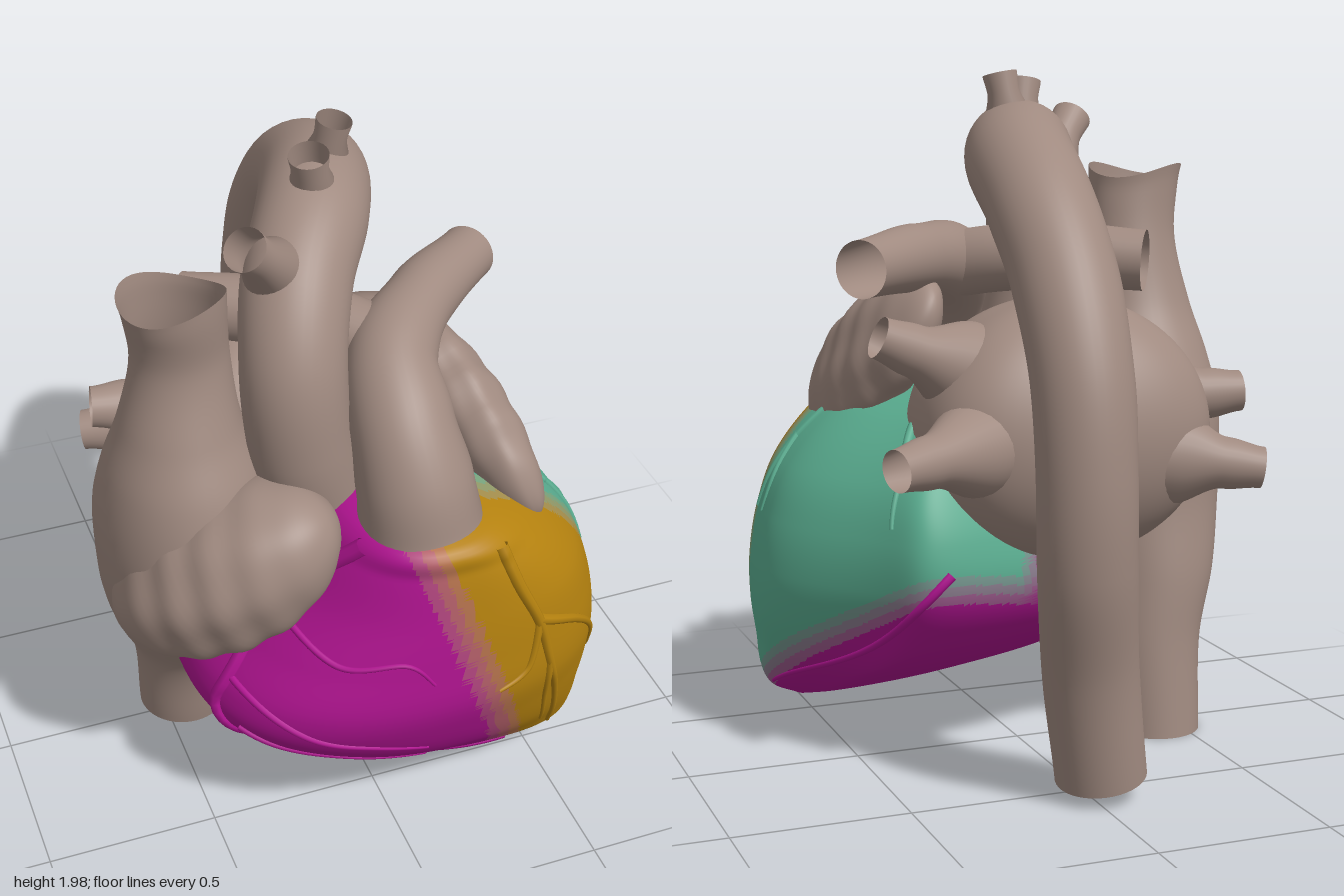
import * as THREE from 'three';
import { mergeVertices } from 'three/addons/utils/BufferGeometryUtils.js';

const VESSEL = 0xa08a80, MAGENTA = 0xb01490, ORANGE = 0xb5820f, TEAL = 0x5aad90;
const clamp = THREE.MathUtils.clamp;
const material = (color) => new THREE.MeshStandardMaterial({ color, side: THREE.DoubleSide });

// Horizontal sections: [y, centre x, centre z, radius x, radius z]
const VENTRICLES = [
  [0.085, 0.53, 0.48, 0.03, 0.03], [0.13, 0.4, 0.44, 0.24, 0.14], [0.2, 0.3, 0.38, 0.38, 0.26],
  [0.3, 0.19, 0.31, 0.51, 0.41], [0.42, 0.11, 0.27, 0.61, 0.51], [0.55, 0.105, 0.25, 0.615, 0.57],
  [0.7, 0.14, 0.25, 0.55, 0.57], [0.85, 0.165, 0.275, 0.455, 0.535], [1.0, 0.14, 0.32, 0.33, 0.47],
  [1.085, 0.1, 0.38, 0.21, 0.38], [1.115, 0.1, 0.4, 0.1, 0.18],
];
const VENA_CAVA = [
  [0.02, -0.43, -0.05, 0.135, 0.14], [0.3, -0.43, 0, 0.155, 0.165], [0.5, -0.455, 0.08, 0.2, 0.23],
  [0.7, -0.46, 0.17, 0.245, 0.29], [0.85, -0.465, 0.2, 0.255, 0.31], [1.0, -0.47, 0.21, 0.25, 0.3],
  [1.15, -0.475, 0.23, 0.22, 0.25], [1.3, -0.48, 0.24, 0.17, 0.18], [1.5, -0.47, 0.24, 0.135, 0.125],
  [1.66, -0.485, 0.26, 0.14, 0.125], [1.73, -0.495, 0.26, 0.15, 0.13],
];

// Smooth cubic interpolation of the sections at height y
function sectionAt(rows, y) {
  let k = 0;
  while (k < rows.length - 2 && y > rows[k + 1][0]) k++;
  const a = rows[k], b = rows[k + 1], h = b[0] - a[0], u = clamp((y - a[0]) / h, 0, 1);
  const p = rows[Math.max(k - 1, 0)], n = rows[Math.min(k + 2, rows.length - 1)];
  return a.map((_, i) => {
    const ma = (b[i] - p[i]) / (b[0] - p[0]) * h, mb = (n[i] - a[i]) / (n[0] - a[0]) * h;
    const u2 = u * u, u3 = u2 * u;
    return (2 * u3 - 3 * u2 + 1) * a[i] + (u3 - 2 * u2 + u) * ma + (3 * u2 - 2 * u3) * b[i] + (u3 - u2) * mb;
  });
}

const POWER = 0.8;
const signedPow = (v, p) => Math.sign(v) * Math.abs(v) ** p;

// Squarish in front; the back half narrows and leans towards the left ventricle
function ventriclePoint(t, y) {
  const [, cx, cz, rx, rz] = sectionAt(VENTRICLES, y);
  const s = Math.sin(t), c = Math.cos(t);
  if (s >= 0) return [cx + rx * signedPow(c, POWER), y, cz + rz * s ** POWER];
  return [cx + rx * (c * (1 - 0.35 * s * s) + 0.36 * s ** 4), y, cz + rz * s];
}
function cavaPoint(t, y) {
  const [, cx, cz, rx, rz] = sectionAt(VENA_CAVA, y);
  const rim = y > 1.6 ? (y - 1.6) * 0.2 * Math.sin(2 * t) : 0;
  return [cx + rx * Math.cos(t), y + rim, cz + rz * Math.sin(t)];
}

// Closed rings stacked from y0 to y1
function loft(point, y0, y1, rings, sides, ease) {
  const pos = [], index = [];
  for (let i = 0; i <= rings; i++)
    for (let j = 0; j < sides; j++) pos.push(...point(j / sides * Math.PI * 2, y0 + (y1 - y0) * (i / rings) ** ease));
  for (let i = 0; i < rings; i++)
    for (let j = 0; j < sides; j++) {
      const a = i * sides + j, b = i * sides + (j + 1) % sides;
      index.push(a, a + sides, b, b, a + sides, b + sides);
    }
  const g = new THREE.BufferGeometry();
  g.setAttribute('position', new THREE.Float32BufferAttribute(pos, 3));
  g.setIndex(index);
  g.computeVertexNormals();
  return g;
}

// Colour of the ventricle wall, with stepped tones between territories
function wallColor(x, y, z) {
  const step = (d, width) => Math.round(clamp(d / width + 0.5, 0, 1) * 4) / 4;
  const front = new THREE.Color(MAGENTA).lerp(new THREE.Color(ORANGE), step(x - 0.03 - (1.1 - y) * 0.37, 0.14));
  const low = step(y - 0.15 - (0.45 - z) * 0.55, 0.1) * step(x - 0.05, 0.1);
  const back = new THREE.Color(MAGENTA).lerp(new THREE.Color(TEAL), low);
  const edge = 0.45 + 0.35 * (y - 0.55) ** 2;
  return front.lerp(back, step(edge - z, 0.13)).getHex();
}

function ventricles() {
  const group = new THREE.Group();
  group.name = 'ventricles';
  const g = loft(ventriclePoint, 0.085, 1.115, 120, 180, 1.2);
  const p = g.attributes.position, idx = g.index.array, regions = new Map();
  for (let f = 0; f < idx.length; f += 3) {
    const tri = [idx[f], idx[f + 1], idx[f + 2]];
    const mean = (get) => tri.reduce((s, i) => s + p[get](i), 0) / 3;
    const color = wallColor(mean('getX'), mean('getY'), mean('getZ'));
    if (!regions.has(color)) regions.set(color, []);
    regions.get(color).push(...tri);
  }
  const names = { [MAGENTA]: 'rightVentricleWall', [ORANGE]: 'frontVentricleWall', [TEAL]: 'leftVentricleWall' };
  for (const [color, faces] of regions) {
    const part = new THREE.BufferGeometry();
    part.setAttribute('position', p);
    part.setAttribute('normal', g.attributes.normal);
    part.setIndex(faces);
    const mesh = new THREE.Mesh(part, material(color));
    mesh.name = names[color] || 'wallTransition';
    group.add(mesh);
  }
  return group;
}

// Tube through [x, y, z, radius] points
function vessel(name, pts, color = VESSEL, segments = 40, sides = 28) {
  const curve = new THREE.CatmullRomCurve3(pts.map((q) => new THREE.Vector3(q[0], q[1], q[2])));
  const g = new THREE.TubeGeometry(curve, segments, 1, sides);
  const p = g.attributes.position, v = new THREE.Vector3();
  for (let i = 0; i <= segments; i++) {
    const c = curve.getPointAt(i / segments);
    const t = curve.getUtoTmapping(i / segments) * (pts.length - 1), k = Math.min(Math.floor(t), pts.length - 2);
    const r = THREE.MathUtils.lerp(pts[k][3], pts[k + 1][3], THREE.MathUtils.smoothstep(t - k, 0, 1));
    for (let j = 0; j <= sides; j++) {
      const n = i * (sides + 1) + j;
      v.fromBufferAttribute(p, n).sub(c).multiplyScalar(r).add(c);
      p.setXYZ(n, v.x, v.y, v.z);
    }
  }
  const mesh = new THREE.Mesh(g, material(color));
  mesh.name = name;
  return mesh;
}

// Ellipsoid along a long axis; box above 2 squares its girth, pleats ripple it
function lobe(name, centre, axis, out, radii, box, pleats) {
  let g = new THREE.SphereGeometry(1, 80, 48);
  g.deleteAttribute('uv');
  g.deleteAttribute('normal');
  g = mergeVertices(g);
  const p = g.attributes.position;
  for (let i = 0; i < p.count; i++) {
    const x = p.getX(i), y = p.getY(i), z = p.getZ(i), girth = Math.hypot(x, z);
    const square = girth > 1e-4 ? girth / (Math.abs(x) ** box + Math.abs(z) ** box) ** (1 / box) : 1;
    const f = square * (1 + pleats * girth * girth * (Math.sin(17 * y + 4 * x) + 0.6 * Math.sin(7 * Math.atan2(z, x) + 4 * y)));
    p.setXYZ(i, x * f * radii[0], y * radii[1], z * f * radii[2]);
  }
  const Y = new THREE.Vector3(...axis).normalize(), Z = new THREE.Vector3(...out);
  Z.addScaledVector(Y, -Z.dot(Y)).normalize();
  g.applyMatrix4(new THREE.Matrix4().makeBasis(Y.clone().cross(Z), Y, Z));
  g.computeVertexNormals();
  const mesh = new THREE.Mesh(g, material(VESSEL));
  mesh.name = name;
  mesh.position.set(...centre);
  return mesh;
}

// Coronary vessels: each path lies on the wall, given by front (x, y), side (z, y) or angle (t, y)
const toAngle = {
  front: (x, y) => { const s = sectionAt(VENTRICLES, y); return Math.acos(signedPow(clamp((x - s[1]) / s[3], -1, 1), 1 / POWER)); },
  side: (z, y) => {
    const s = sectionAt(VENTRICLES, y), q = clamp((z - s[2]) / s[4], -1, 1);
    return Math.asin(q < 0 ? q : q ** (1 / POWER));
  },
  angle: (t) => t,
};
const CORONARIES = [
  ['front', ORANGE, 0.021, [[0.25, 1.05], [0.3, 0.92], [0.37, 0.77], [0.42, 0.6], [0.48, 0.4], [0.53, 0.17]]],
  ['front', ORANGE, 0.017, [[0.37, 0.78], [0.52, 0.68], [0.62, 0.55], [0.67, 0.37]]],
  ['front', ORANGE, 0.014, [[0.37, 0.77], [0.34, 0.62], [0.25, 0.57]]],
  ['front', ORANGE, 0.013, [[0.42, 0.6], [0.43, 0.45], [0.47, 0.25]]],
  ['front', MAGENTA, 0.026, [[-0.1, 1.06], [-0.23, 0.9], [-0.38, 0.7], [-0.485, 0.5], [-0.39, 0.36], [-0.17, 0.24], [0.13, 0.155], [0.4, 0.12]]],
  ['front', MAGENTA, 0.012, [[-0.32, 0.82], [-0.2, 0.73], [-0.03, 0.74], [0.05, 0.66]]],
  ['front', MAGENTA, 0.012, [[-0.45, 0.6], [-0.27, 0.48], [-0.1, 0.42], [0.07, 0.35]]],
  ['front', MAGENTA, 0.011, [[-0.44, 0.45], [-0.2, 0.33], [0.1, 0.24]]],
  ['side', TEAL, 0.015, [[0.36, 1.04], [0.38, 0.9], [0.42, 0.7]]],
  ['side', TEAL, 0.012, [[0.38, 0.92], [0.34, 0.8], [0.34, 0.7]]],
  ['side', TEAL, 0.015, [[-0.06, 1.0], [-0.17, 0.88], [-0.22, 0.74]]],
  ['angle', MAGENTA, 0.015, [[-1.6, 0.62], [-1.25, 0.5], [-0.9, 0.36], [-0.5, 0.24], [-0.2, 0.16]]],
];

export function createModel() {
  const model = new THREE.Group();
  model.name = 'heart';
  model.add(ventricles());

  const coronaries = new THREE.Group();
  coronaries.name = 'coronaryVessels';
  for (const [mode, color, r, path] of CORONARIES) {
    const line = new THREE.SplineCurve(path.map(([a, y]) => new THREE.Vector2(a, y))).getPoints(24);
    const pts = line.map((q, i) => [...ventriclePoint(toAngle[mode](q.x, q.y), q.y), r * (1 - 0.6 * i / 24)]);
    coronaries.add(vessel('coronaryVessel', pts, color, 60, 8));
  }
  model.add(coronaries);

  // Right side: vena cava running through the right atrium, with its auricle
  const cava = new THREE.Mesh(loft(cavaPoint, 0.02, 1.7, 80, 48, 1), material(VESSEL));
  cava.name = 'venaCavaAndRightAtrium';
  model.add(cava);
  model.add(lobe('rightAuricle', [-0.42, 0.9, 0.42], [0.26, 0.25, 0.19], [0, 0, 1], [0.215, 0.38, 0.23], 2.2, 0.022));

  // Left atrium, its auricle and four flaring lung veins
  model.add(lobe('leftAtrium', [-0.08, 0.98, -0.12], [0, 1, 0], [0, 0, 1], [0.43, 0.385, 0.32], 2.9, 0));
  model.add(lobe('leftAuricle', [0.345, 1.16, 0.3], [0.1, -0.2, 0.28], [1, 0.3, 0], [0.195, 0.36, 0.11], 2.3, 0.03));
  const veins = [
    [[0.06, 1.1, -0.14], [0.47, 1.27, -0.15]], [[0.06, 0.98, -0.22], [0.5, 0.94, -0.4]],
    [[-0.2, 1.05, -0.14], [-0.62, 1.07, -0.21]], [[-0.2, 0.93, -0.24], [-0.61, 0.87, -0.38]],
  ];
  for (const [a, b] of veins) {
    const at = (u) => a.map((v, i) => v + (b[i] - v) * u);
    model.add(vessel('lungVein', [[...a, 0.15], [...at(0.4), 0.14], [...at(0.75), 0.075], [...b, 0.06]]));
  }

  // Aorta with the three arch branches
  model.add(vessel('aorta', [
    [-0.12, 1.0, 0.34, 0.14], [-0.18, 1.25, 0.37, 0.145], [-0.19, 1.48, 0.35, 0.145], [-0.14, 1.66, 0.24, 0.15],
    [-0.04, 1.755, 0.08, 0.155], [0.04, 1.74, -0.13, 0.155], [0.07, 1.63, -0.36, 0.15], [0.07, 1.45, -0.53, 0.145],
    [0.07, 1.2, -0.65, 0.138], [0.07, 0.95, -0.685, 0.135], [0.06, 0.7, -0.67, 0.135], [0.02, 0.4, -0.6, 0.133],
    [-0.03, 0.08, -0.56, 0.128],
  ], VESSEL, 110, 40));
  const branches = [
    [[-0.17, 1.68, 0.24], [-0.32, 1.86, 0.36], 0.06],
    [[-0.04, 1.78, 0.1], [-0.07, 1.97, 0.14], 0.055],
    [[0.02, 1.8, -0.02], [0.05, 1.99, 0.01], 0.05],
  ];
  for (const [a, b, r] of branches) {
    const mid = a.map((v, i) => v + (b[i] - v) * 0.75);
    model.add(vessel('archBranch', [[...a, r * 1.8], [...mid, r * 0.92], [...b, r]]));
  }

  // Pulmonary trunk and its two arteries
  model.add(vessel('pulmonaryTrunk', [
    [0.085, 1.06, 0.595, 0.17], [0.075, 1.18, 0.57, 0.16], [0.07, 1.32, 0.48, 0.142], [0.1, 1.42, 0.33, 0.125],
    [0.26, 1.46, 0.14, 0.1], [0.49, 1.45, -0.06, 0.083],
  ], VESSEL, 70, 40));
  model.add(vessel('rightPulmonaryArtery', [
    [0.12, 1.42, 0.3, 0.1], [-0.02, 1.45, 0.16, 0.1], [-0.2, 1.46, 0.03, 0.095], [-0.37, 1.45, -0.08, 0.09],
  ]));
  return model;
}
